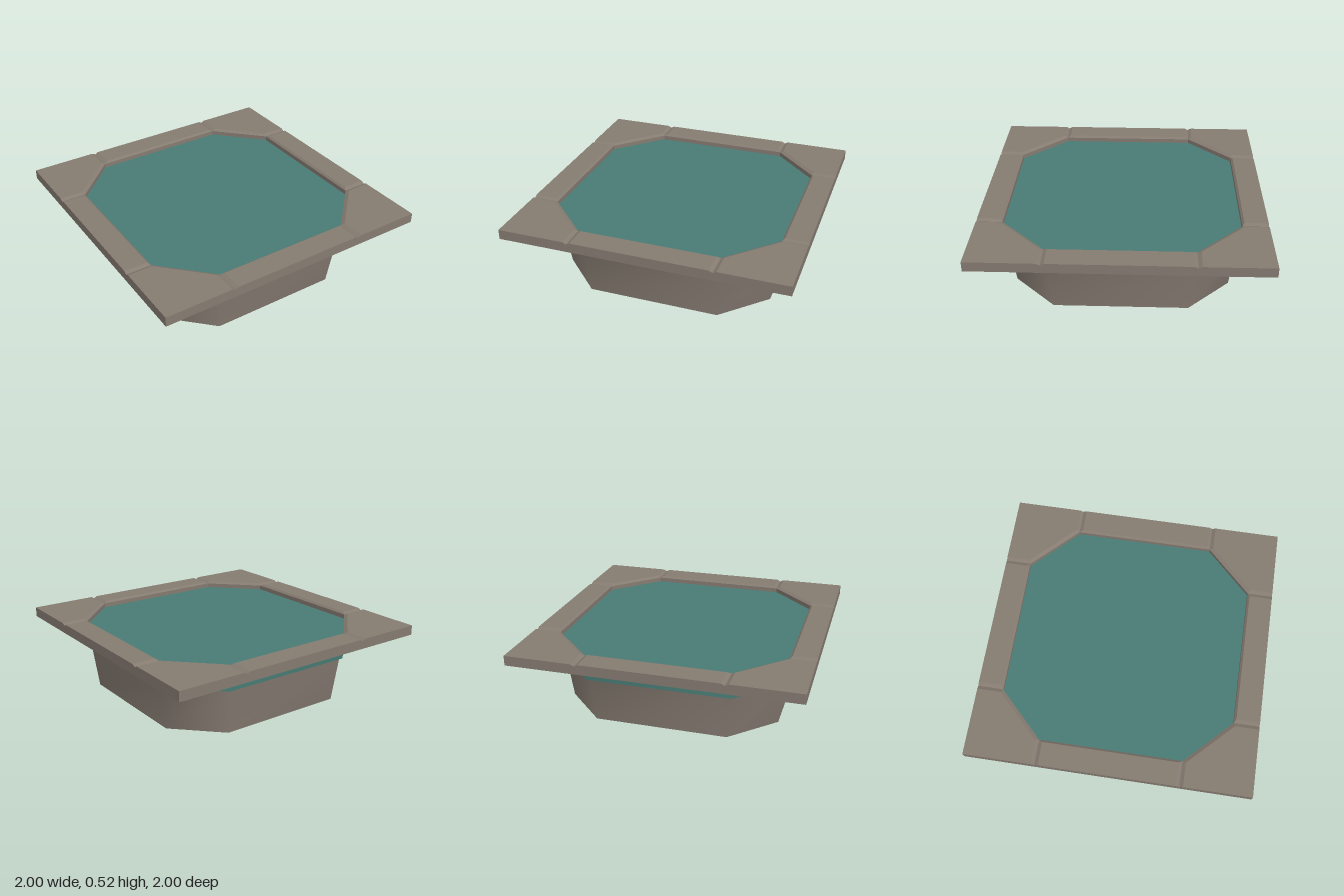
import * as THREE from 'three';

const TOP = 0.52, GROOVE = 0.507, WATER = 0.475, SKIRT = 0.45, LEDGE = 0.325;
const HALF = 0.82, CORNER = 0.5; // chamfered-square opening

// Flat-shaded mesh from convex polygons, each fanned into triangles
function polyMesh(name, polys, material) {
  const pos = [];
  for (const p of polys)
    for (let i = 1; i < p.length - 1; i++) pos.push(...p[0], ...p[i], ...p[i + 1]);
  const g = new THREE.BufferGeometry();
  g.setAttribute('position', new THREE.Float32BufferAttribute(pos, 3));
  g.computeVertexNormals();
  const m = new THREE.Mesh(g, material);
  m.name = name;
  return m;
}

// Chamfered square, counter-clockwise from above
function octagon(scale, y) {
  const a = HALF * scale, c = CORNER * scale;
  return [[-c, a], [c, a], [a, c], [a, -c], [c, -a], [-c, -a], [-a, -c], [-a, c]]
    .map(([x, z]) => [x, y, z]);
}

// Smooth-shaded band between two octagons
function bandMesh(name, s0, y0, s1, y1, material) {
  const index = [];
  for (let i = 0; i < 8; i++) {
    const j = (i + 1) % 8;
    index.push(i, j, j + 8, i, j + 8, i + 8);
  }
  const g = new THREE.BufferGeometry();
  const pos = [...octagon(s0, y0), ...octagon(s1, y1)].flat();
  g.setAttribute('position', new THREE.Float32BufferAttribute(pos, 3));
  g.setIndex(index);
  g.computeVertexNormals();
  const m = new THREE.Mesh(g, material);
  m.name = name;
  return m;
}

// One quarter of the rim: a straight slab, its right-hand corner slab and walls
function rimQuarter(stone) {
  const t = (x, z) => [x, TOP, z];
  const v = (x, z) => [x, GROOVE, z];
  const g = new THREE.Group();
  g.name = 'rimQuarter';

  g.add(polyMesh('sideSlab', [
    [t(-0.475, 1), t(0.475, 1), t(0.475, 0.835), t(-0.475, 0.835)],
    [t(-0.475, 0.835), t(0.475, 0.835), v(0.5, 0.82), v(-0.5, 0.82)],
    [t(0.475, 1), v(0.5, 1), v(0.5, 0.82), t(0.475, 0.835)],
    [v(-0.5, 1), t(-0.475, 1), t(-0.475, 0.835), v(-0.5, 0.82)],
  ], stone));

  g.add(polyMesh('cornerSlab', [
    [t(0.525, 1), t(1, 1), t(1, 0.525), t(0.83, 0.525), t(0.525, 0.83)],
    [v(0.5, 1), t(0.525, 1), t(0.525, 0.83), v(0.5, 0.82)],
    [t(1, 0.525), v(1, 0.5), v(0.82, 0.5), t(0.83, 0.525)],
    [t(0.525, 0.83), t(0.83, 0.525), v(0.82, 0.5), v(0.5, 0.82)],
  ], stone));

  // Upright lip down to the water
  const lip = [[-0.5, 0.82], [0.5, 0.82], [0.82, 0.5]];
  g.add(polyMesh('innerLip', [0, 1].map((i) => {
    const [ax, az] = lip[i], [bx, bz] = lip[i + 1];
    return [[bx, WATER, bz], [ax, WATER, az], v(ax, az), v(bx, bz)];
  }), stone));

  // Outer skirt, notched where the grooves run out
  const edge = [[-1, TOP], [-0.525, TOP], [-0.5, GROOVE], [-0.475, TOP],
    [0.475, TOP], [0.5, GROOVE], [0.525, TOP], [1, TOP]];
  g.add(polyMesh('outerSkirt', edge.slice(1).map(([bx, by], i) => {
    const [ax, ay] = edge[i];
    return [[ax, SKIRT, 1], [bx, SKIRT, 1], [bx, by, 1], [ax, ay, 1]];
  }), stone));
  return g;
}

export function createModel() {
  const stone = new THREE.MeshStandardMaterial({ color: 0x857b71 });
  stone.name = 'stone';
  stone.side = THREE.DoubleSide;
  const teal = new THREE.MeshStandardMaterial({ color: 0x487b74 });
  teal.name = 'teal';
  teal.side = THREE.DoubleSide;

  const model = new THREE.Group();
  model.name = 'pool';

  // Rim
  for (let k = 0; k < 4; k++) {
    const q = rimQuarter(stone);
    q.rotation.y = k * Math.PI / 2;
    model.add(q);
  }

  // Water body
  model.add(polyMesh('waterSurface', [octagon(1, WATER)], teal));
  model.add(bandMesh('waterSides', 1, LEDGE, 1, WATER, teal));
  model.add(polyMesh('waterUnderside', [octagon(1, LEDGE).reverse()], teal));

  // Tapered base, open underneath
  model.add(bandMesh('base', 0.76 / HALF, 0, 0.8 / HALF, LEDGE, stone));
  return model;
}
